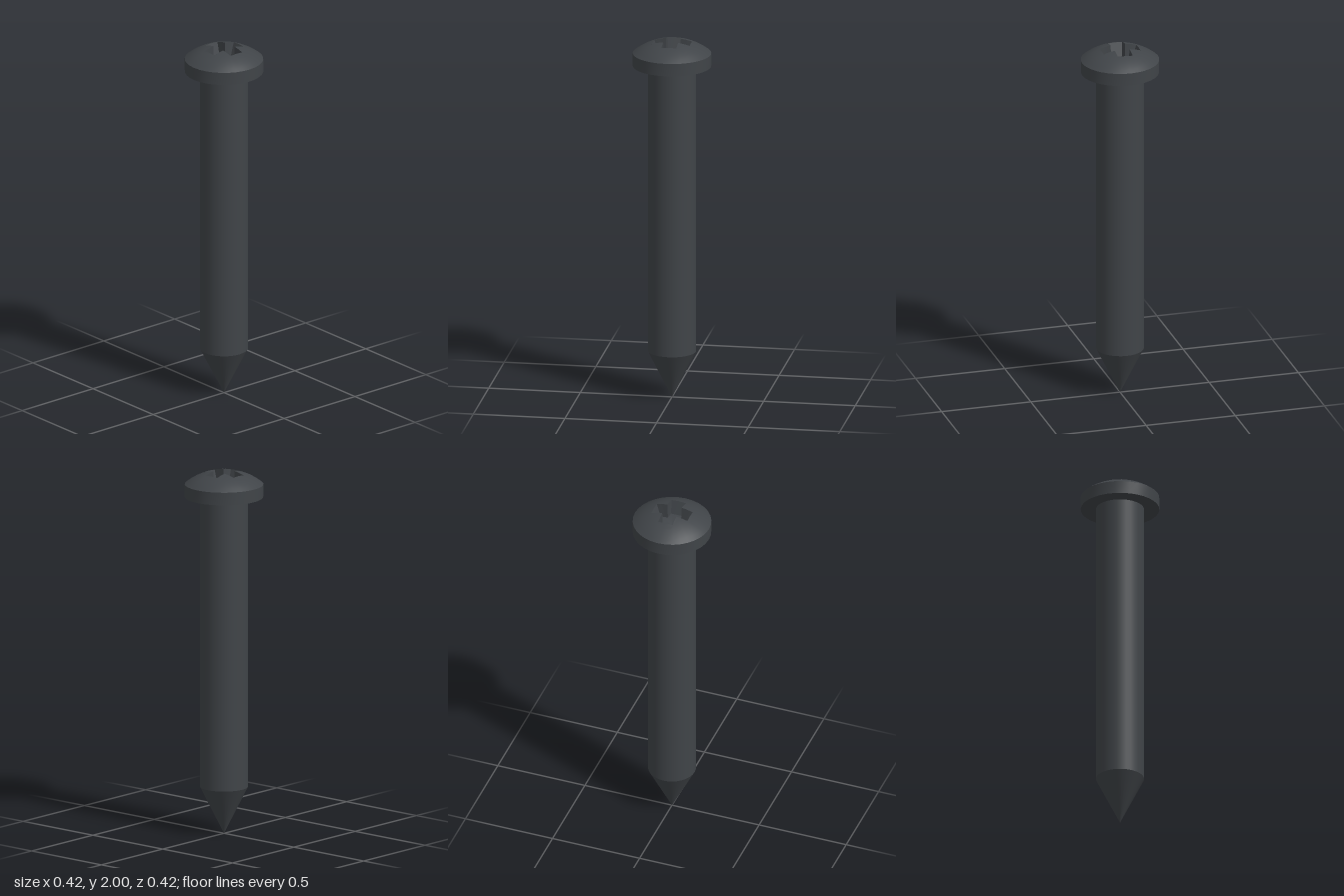
import * as THREE from 'three';
import { toCreasedNormals } from 'three/addons/utils/BufferGeometryUtils.js';

const SIDES = 32;
const HEAD_R = 0.212, SHAFT_R = 0.13, RIM_Y = 1.93, HEAD_BASE = 1.86, TIP_TOP = 0.26;

const circle = (r) => Array.from({ length: SIDES }, (_, i) => {
  const a = -Math.PI / 4 + (i / SIDES) * Math.PI * 2;
  return [r * Math.cos(a), r * Math.sin(a)];
});

// Cross outline with 8 points per arm, matching the 32 points of a circle
function cross(reach, inner, tip) {
  const corners = [[inner, -inner], [reach, -tip], [reach, tip], [inner, inner]];
  const steps = [3, 2, 3];
  const points = [];
  for (let arm = 0; arm < 4; arm++) {
    const c = Math.round(Math.cos(arm * Math.PI / 2)), s = Math.round(Math.sin(arm * Math.PI / 2));
    steps.forEach((n, e) => {
      for (let k = 0; k < n; k++) {
        const x = THREE.MathUtils.lerp(corners[e][0], corners[e + 1][0], k / n);
        const z = THREE.MathUtils.lerp(corners[e][1], corners[e + 1][1], k / n);
        points.push([x * c - z * s, x * s + z * c]);
      }
    });
  }
  return points;
}

// Height of the spherical dome above a point
function domeY(x, z) {
  const rise = 0.075, R = (HEAD_R ** 2 + rise ** 2) / (2 * rise);
  return RIM_Y + rise - R + Math.sqrt(Math.max(0, R * R - x * x - z * z));
}

// Skin successive rings of equal point count
function loft(rings) {
  const index = [];
  for (let r = 0; r < rings.length - 1; r++) {
    for (let i = 0; i < SIDES; i++) {
      const j = (i + 1) % SIDES;
      const a = r * SIDES, b = a + SIDES;
      index.push(a + i, b + j, b + i);
      if (r > 0) index.push(a + i, a + j, b + j);
    }
  }
  const geometry = new THREE.BufferGeometry();
  geometry.setAttribute('position', new THREE.Float32BufferAttribute(rings.flat(2), 3));
  geometry.setIndex(index);
  return toCreasedNormals(geometry, Math.PI / 6);
}

function headGeometry() {
  const at = (points, y) => points.map(([x, z]) => [x, y, z]);
  const floorY = 1.915;
  // Recess: conical pit, then the cross-shaped floor
  const rings = [at(circle(0), floorY - 0.015), at(circle(0.038), floorY), at(cross(0.077, 0.038, 0.034), floorY)];
  // Dome: blends from the cross opening out to the round rim
  const opening = cross(0.103, 0.041, 0.041), rim = circle(HEAD_R);
  const domeSteps = 6;
  for (let k = 0; k <= domeSteps; k++) {
    rings.push(opening.map(([x, z], i) => {
      const px = THREE.MathUtils.lerp(x, rim[i][0], k / domeSteps);
      const pz = THREE.MathUtils.lerp(z, rim[i][1], k / domeSteps);
      return [px, domeY(px, pz), pz];
    }));
  }
  // Straight side and flat underside
  rings.push(at(rim, HEAD_BASE), at(circle(SHAFT_R * 0.95), HEAD_BASE));
  return loft(rings);
}

export function createModel() {
  const group = new THREE.Group();
  group.name = 'screw';
  const material = new THREE.MeshStandardMaterial({ color: 0x404448 });
  const add = (name, geometry, y = 0) => {
    const mesh = new THREE.Mesh(geometry, material);
    mesh.name = name;
    mesh.position.y = y;
    group.add(mesh);
  };

  add('head', headGeometry());
  add('shaft', new THREE.CylinderGeometry(SHAFT_R, SHAFT_R, HEAD_BASE - TIP_TOP, SIDES, 1, true), (HEAD_BASE + TIP_TOP) / 2);
  add('tip', new THREE.CylinderGeometry(SHAFT_R, 0, TIP_TOP, SIDES, 1, true), TIP_TOP / 2);
  return group;
}
